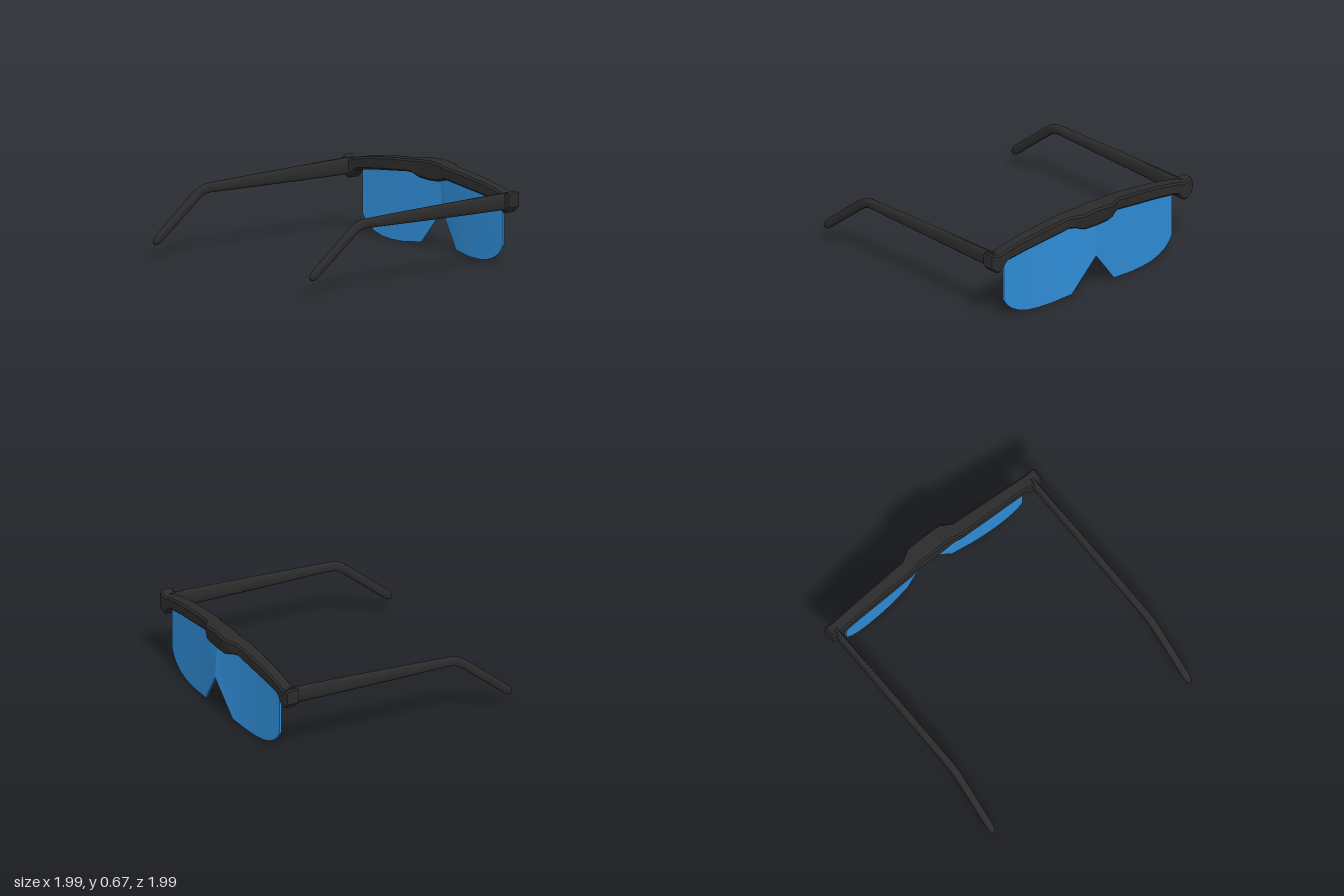
import * as THREE from 'three';
import { toCreasedNormals } from 'three/addons/utils/BufferGeometryUtils.js';

// Skin a list of rings (each counter-clockwise about the loft direction), with capped ends.
function loft(rings, crease) {
  const n = rings[0].length;
  const pos = rings.flat().flatMap((p) => [p.x, p.y, p.z]);
  const idx = [];
  for (let i = 0; i < rings.length - 1; i++) {
    for (let j = 0; j < n; j++) {
      const k = (j + 1) % n;
      const a = i * n + j, b = i * n + k, c = a + n, d = b + n;
      idx.push(a, b, d, a, d, c);
    }
  }
  const last = (rings.length - 1) * n;
  for (let j = 1; j < n - 1; j++) {
    idx.push(0, j + 1, j);
    idx.push(last, last + j, last + j + 1);
  }
  const geo = new THREE.BufferGeometry();
  geo.setAttribute('position', new THREE.Float32BufferAttribute(pos, 3));
  geo.setIndex(idx);
  return toCreasedNormals(geo, crease);
}

// Mirror half-width stations [u, ...] into a full list running from -z to +z.
function mirrored(half) {
  const neg = half.slice(1).reverse().map(([u, ...rest]) => [-u, ...rest]);
  return [...neg, ...half];
}

const V = (x, y, z) => new THREE.Vector3(x, y, z);

// Brow bar stations: z, top, bottom, back x, front x
const BAR = [
  [0, 0.667, 0.52, 0.84, 0.995],
  [0.11, 0.66, 0.525, 0.84, 0.995],
  [0.15, 0.657, 0.535, 0.84, 0.993],
  [0.19, 0.654, 0.552, 0.832, 0.97],
  [0.24, 0.65, 0.555, 0.822, 0.942],
  [0.45, 0.632, 0.532, 0.82, 0.934],
  [0.65, 0.608, 0.51, 0.82, 0.927],
  [0.83, 0.577, 0.485, 0.82, 0.923],
  [0.865, 0.568, 0.465, 0.82, 0.923],
  [0.895, 0.56, 0.425, 0.817, 0.923],
  [0.92, 0.557, 0.41, 0.816, 0.923],
  [0.945, 0.56, 0.412, 0.816, 0.923],
  [0.985, 0.577, 0.445, 0.816, 0.923],
  [0.997, 0.565, 0.46, 0.822, 0.916],
];

function barGeometry() {
  const rings = mirrored(BAR).map(([z, t, b, x0, x1]) => {
    const c = 0.014;
    // the raised centre leans back slightly towards its lower edge
    const xb = x1 - Math.max(0, x1 - 0.93) * 0.25;
    return [
      V(x0 + c, b, z), V(xb - c, b, z), V(xb, b + c, z), V(x1, t - c, z),
      V(x1 - c, t, z), V(x0 + c, t, z), V(x0, t - c, z), V(x0, b + c, z),
    ];
  });
  return loft(rings, 0.6);
}

// Lens stations: distance from middle, bottom edge, front x
const LENS = [
  [0, 0.28, 0.98], [0.21, 0.02, 0.945], [0.4, 0, 0.922], [0.52, 0, 0.912],
  [0.62, 0.01, 0.905], [0.7, 0.035, 0.9], [0.76, 0.066, 0.896],
  [0.805, 0.105, 0.893], [0.838, 0.155, 0.89],
];

function lensGeometry() {
  const rings = mirrored(LENS).map(([u, b, x]) => {
    const top = 0.6 - 0.09 * Math.abs(u);
    const lean = 0.02 * (1 - Math.abs(u) / 0.838);
    const z = u + 0.018, th = 0.015;
    return [V(x - th, b, z), V(x, b, z), V(x - lean, top, z), V(x - lean - th, top, z)];
  });
  return loft(rings, 0.3);
}

// Temple arm stations: x, centre y, half height, half width
const ARM = [
  [0.87, 0.5, 0.065, 0.024], [0.4, 0.493, 0.057, 0.025], [-0.05, 0.487, 0.047, 0.027],
  [-0.46, 0.481, 0.036, 0.028], [-0.51, 0.477, 0.036, 0.029], [-0.555, 0.461, 0.036, 0.029],
  [-0.6, 0.431, 0.036, 0.028], [-0.76, 0.303, 0.034, 0.028], [-0.93, 0.167, 0.034, 0.027],
  [-0.96, 0.141, 0.032, 0.025], [-0.978, 0.125, 0.025, 0.019], [-0.99, 0.114, 0.012, 0.009],
];

function armGeometry() {
  const sides = 14;
  const side = V(0, 0, 1);
  const rings = ARM.map(([x, y, h, w], i) => {
    const p = ARM[Math.max(i - 1, 0)], q = ARM[Math.min(i + 1, ARM.length - 1)];
    const up = V(q[0] - p[0], q[1] - p[1], 0).normalize().cross(side);
    return Array.from({ length: sides }, (_, k) => {
      const a = (k / sides) * Math.PI * 2;
      // rounded-rectangle section
      const round = (v) => Math.sign(v) * Math.pow(Math.abs(v), 0.75);
      return V(x, y, 0)
        .addScaledVector(side, w * round(Math.cos(a)))
        .addScaledVector(up, h * round(Math.sin(a)));
    });
  });
  return loft(rings, 0.8);
}

export function createModel() {
  const group = new THREE.Group();
  group.name = 'shieldGlasses';
  const frameMat = new THREE.MeshStandardMaterial({ color: 0x2b2b2b });
  const lensMat = new THREE.MeshStandardMaterial({ color: 0x2f8cd6 });

  const add = (name, geo, mat) => {
    const mesh = new THREE.Mesh(geo, mat);
    mesh.name = name;
    group.add(mesh);
    return mesh;
  };

  add('browBar', barGeometry(), frameMat);
  add('lens', lensGeometry(), lensMat);

  // Temple arms, one at each end of the bar
  const arm = armGeometry();
  add('armNear', arm, frameMat).position.z = 0.935;
  add('armFar', arm, frameMat).position.z = -0.935;

  return group;
}
